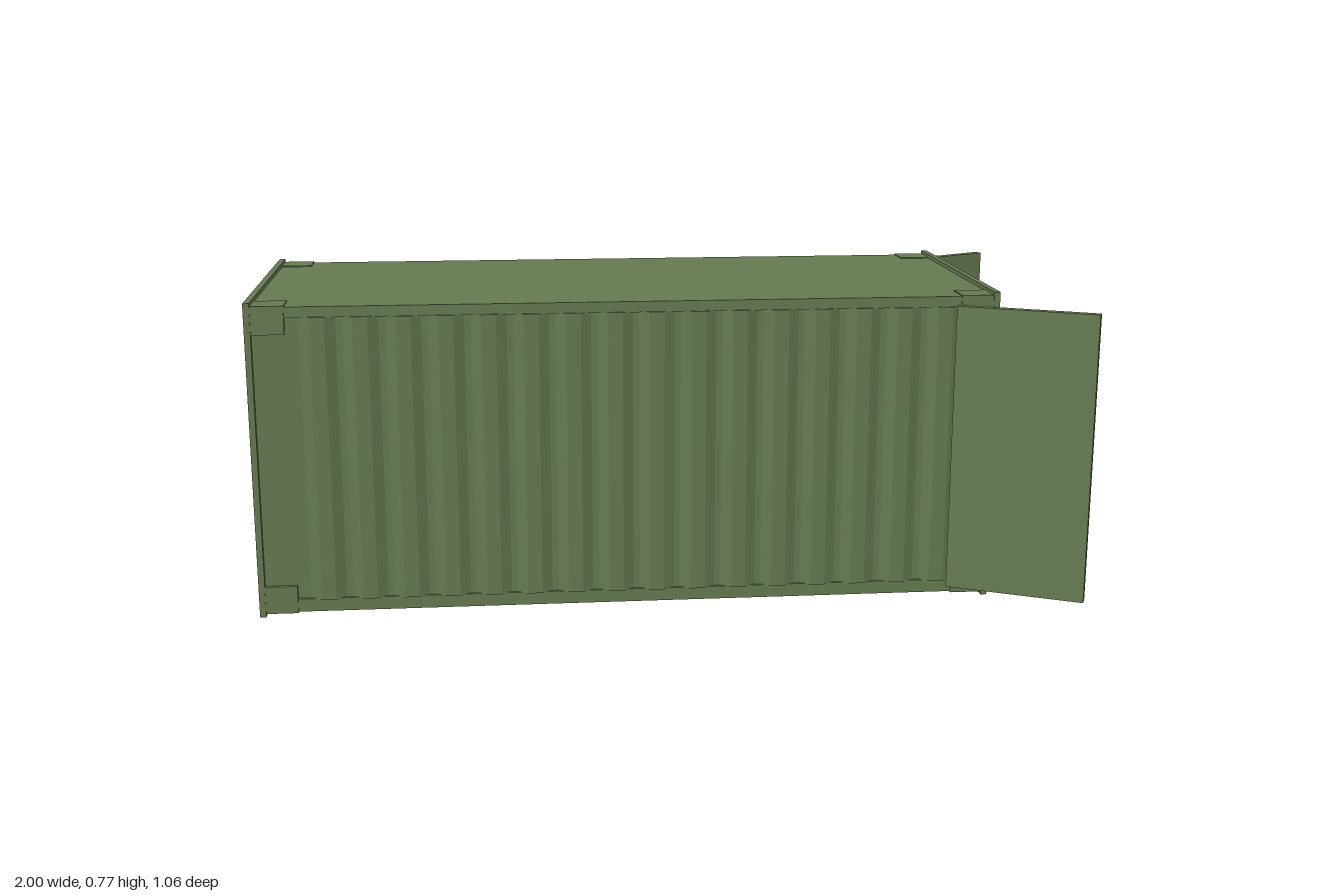
import * as THREE from 'three';

export function createModel() {
  const group = new THREE.Group();
  group.name = 'shippingContainer';
  const green = new THREE.MeshStandardMaterial({ color: 0x65794f });
  green.name = 'olive green paint';

  const X0 = -1, X1 = 0.8, MID = (X0 + X1) / 2, H = 0.77, W = 0.363;

  function add(name, geometry, x, y, z) {
    const mesh = new THREE.Mesh(geometry, green);
    mesh.name = name;
    mesh.position.set(x, y, z);
    group.add(mesh);
    return mesh;
  }
  const box = (name, w, h, d, x, y, z) => add(name, new THREE.BoxGeometry(w, h, d), x, y, z);

  // Corrugated side walls: one trapezoid-wave outline extruded upwards
  const pitch = 0.1, trough = 0.351, crest = W;
  const wave = [];
  for (let i = 0; i < 17; i++) {
    const x = -0.875 + i * pitch;
    wave.push([x, trough], [x + 0.025, crest], [x + 0.06, crest], [x + 0.085, trough]);
  }
  const side = [[X0 + 0.005, trough], ...wave.filter((p) => p[0] < X1 - 0.03), [X1 - 0.005, trough]];
  const outline = [
    ...side.map(([x, z]) => new THREE.Vector2(x, z)),
    ...side.slice().reverse().map(([x, z]) => new THREE.Vector2(x, -z)),
  ];
  const walls = new THREE.ExtrudeGeometry(new THREE.Shape(outline), { depth: 0.695, bevelEnabled: false });
  walls.rotateX(-Math.PI / 2);
  add('corrugatedWalls', walls, 0, 0.04, 0);

  // Roof and floor slabs
  const slabLength = X1 - X0 - 0.01;
  box('roof', slabLength, 0.026, 0.716, MID, 0.747, 0);
  box('floor', slabLength, 0.032, 0.716, MID, 0.026, 0);

  // End panels standing slightly proud of roof and floor
  for (const [name, x] of [['rearEndPanel', X0 + 0.0075], ['doorEndPanel', X1 - 0.0075]]) {
    box(name, 0.015, H, W * 2, x, H / 2, 0);
  }

  // Corner castings
  for (const x of [X0 + 0.05, X1 - 0.05]) {
    for (const y of [0.0415, H - 0.0415]) {
      for (const z of [-1, 1]) box('cornerCasting', 0.085, 0.068, 0.08, x, y, z * 0.321);
    }
  }

  // Two doors swung open at the +x end
  const angle = Math.atan2(0.15, 0.3);
  for (const s of [-1, 1]) {
    const door = box(s > 0 ? 'frontDoor' : 'backDoor', 0.337, 0.71, 0.022, 0.845, 0.385, s * 0.446);
    door.rotation.y = -s * angle;
  }

  return group;
}
